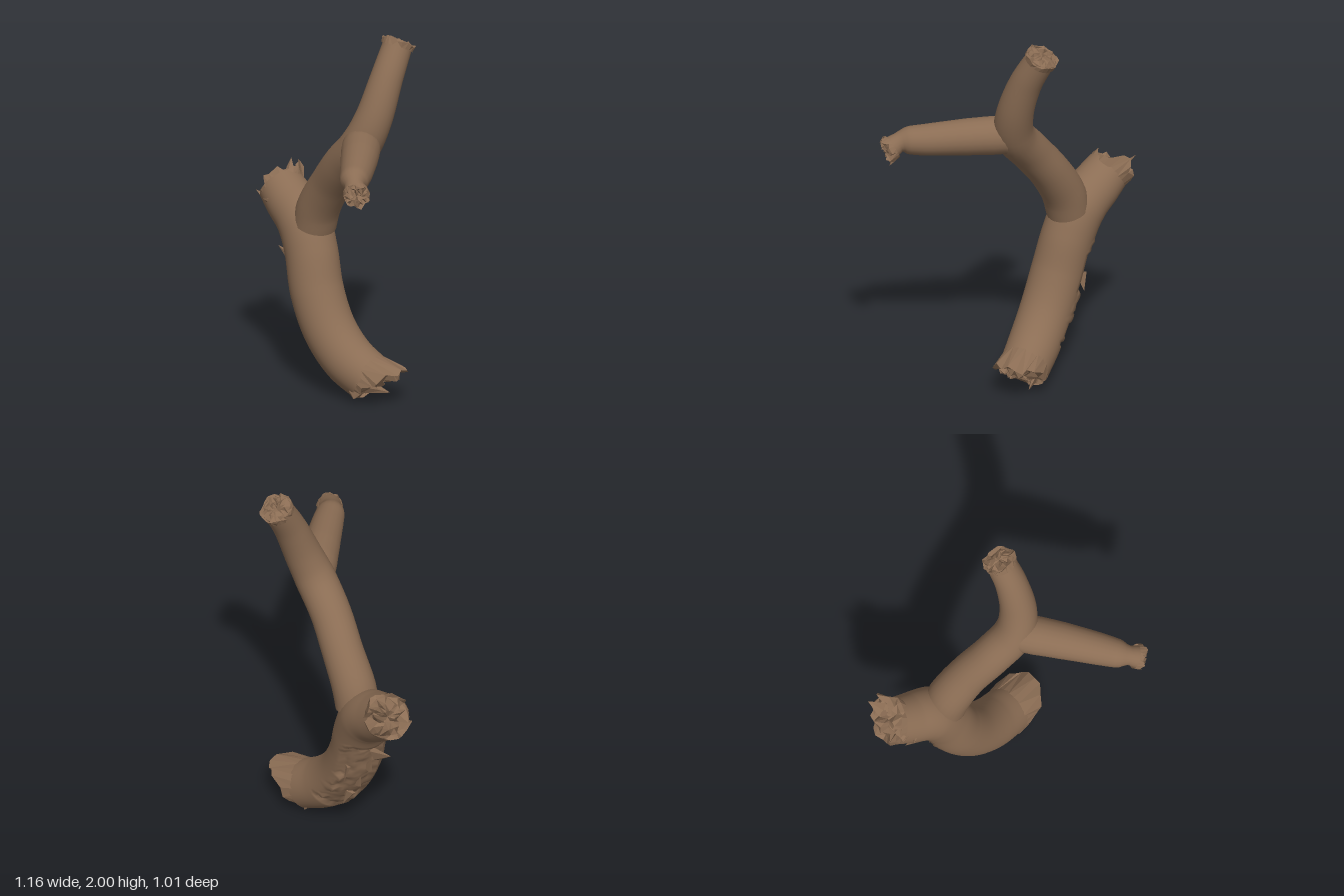
import * as THREE from 'three';
import { mergeVertices } from 'three/addons/utils/BufferGeometryUtils.js';

const V = (x, y, z) => new THREE.Vector3(x, y, z);

function seeded(seed) {
  let s = seed;
  return () => {
    s = (s * 16807) % 2147483647;
    return s / 2147483647;
  };
}

// Tapered round limb through [x, y, z, radius] stations; dent(dir, t, i, j) scales the radius
function limbGeometry(stations, segments, sides, dent = () => 1) {
  const curve = new THREE.CatmullRomCurve3(stations.map(s => V(s[0], s[1], s[2])));
  const geo = new THREE.TubeGeometry(curve, segments, 1, sides);
  const pos = geo.attributes.position, nor = geo.attributes.normal;
  const dir = V();
  for (let i = 0; i <= segments; i++) {
    const u = i / segments;
    const center = curve.getPointAt(u);
    const t = curve.getUtoTmapping(u) * (stations.length - 1);
    const k = Math.min(Math.floor(t), stations.length - 2);
    const radius = THREE.MathUtils.lerp(stations[k][3], stations[k + 1][3], t - k);
    for (let j = 0; j <= sides; j++) {
      const n = i * (sides + 1) + j;
      dir.fromBufferAttribute(nor, n);
      const r = radius * dent(dir, u, i, j % sides);
      pos.setXYZ(n, center.x + dir.x * r, center.y + dir.y * r, center.z + dir.z * r);
    }
  }
  geo.deleteAttribute('uv');
  geo.deleteAttribute('normal');
  const welded = mergeVertices(geo);
  welded.computeVertexNormals();
  return { geo: welded, end: curve.getPointAt(1), start: curve.getPointAt(0),
    endDir: curve.getTangentAt(1), startDir: curve.getTangentAt(0).negate() };
}

// Ragged, faceted wood where a limb has snapped off; the rim on lipSide is drawn out by lipShift
function brokenEndGeometry(center, axis, radius, jag, seed, lipSide = V(), lipShift = V()) {
  const rnd = seeded(seed), sides = 22;
  const q = new THREE.Quaternion().setFromUnitVectors(V(0, 0, 1), axis);
  const rings = [[0.98, -0.35, 0], [1.02, 0, 1], [0.84, -0.06, 1], [0.55, 0.02, 1.3], [0.25, 0.02, 1]];
  const points = [], index = [];
  rings.forEach(([scale, along, rough], i) => {
    for (let j = 0; j < sides; j++) {
      const a = ((j + (rnd() - 0.5) * rough) / sides) * Math.PI * 2;
      const r = radius * scale * (1 + (rnd() - 0.5) * 0.14 * rough);
      const dir = V(Math.cos(a), Math.sin(a), 0).applyQuaternion(q);
      const lip = rough * (0.5 + 0.5 * scale * dir.dot(lipSide)) ** 2;
      const p = center.clone().addScaledVector(dir, r)
        .addScaledVector(axis, along * radius + (rnd() - 0.4) * jag * rough)
        .addScaledVector(lipShift, lip);
      points.push(p.x, p.y, p.z);
      if (i > 0) {
        const k = (j + 1) % sides, row = (i - 1) * sides;
        const b = row + j, bk = row + k, c = b + sides, ck = bk + sides;
        // alternate the diagonals so the facets do not swirl
        if ((i + j) % 2) index.push(b, bk, c, bk, ck, c);
        else index.push(b, bk, ck, b, ck, c);
      }
    }
  });
  const tip = points.length / 3, last = (rings.length - 1) * sides;
  const middle = center.clone().addScaledVector(lipShift, 0.25);
  points.push(middle.x, middle.y, middle.z);
  for (let j = 0; j < sides; j++) index.push(last + j, last + (j + 1) % sides, tip);
  const geo = new THREE.BufferGeometry();
  geo.setAttribute('position', new THREE.Float32BufferAttribute(points, 3));
  geo.setIndex(index);
  const flat = geo.toNonIndexed();
  flat.computeVertexNormals();
  return flat;
}

export function createModel() {
  const group = new THREE.Group();
  const bark = new THREE.MeshStandardMaterial({ color: 0x8b6d54, side: THREE.DoubleSide });
  bark.name = 'bark brown';
  const add = (name, geo) => {
    const mesh = new THREE.Mesh(geo, bark);
    mesh.name = name;
    group.add(mesh);
    return mesh;
  };

  // Curved trunk running into the short side stub, with bark torn off its outer side
  const rnd = seeded(77);
  const noise = Array.from({ length: 4000 }, rnd);
  const scar = V(-0.68, -0.3, -0.67).normalize();
  const torn = (dir, u, i, j) => {
    const patch = noise[(Math.floor(i / 3) * 37 + Math.floor(j / 2) * 11) % 4000];
    const fine = noise[(i * 53 + j * 17) % 4000];
    const inside = dir.dot(scar) - 0.76 - 0.22 * (patch - 0.5);
    if (u < 0.16 || u > 0.66 || inside < -0.07) return 1;
    return inside < 0 ? 1.01 + 0.06 * fine : 0.83 + 0.09 * patch + 0.04 * fine;
  };
  const trunk = limbGeometry([
    [0.195, 0.122, -0.168, 0.13], [0.06, 0.202, -0.168, 0.136], [-0.065, 0.335, -0.18, 0.138],
    [-0.16, 0.52, -0.205, 0.14], [-0.22, 0.72, -0.24, 0.138], [-0.29, 0.855, -0.275, 0.14],
    [-0.4, 0.93, -0.318, 0.13], [-0.485, 0.99, -0.352, 0.12],
  ], 64, 40, torn);
  add('trunk', trunk.geo);
  add('trunkBrokenEnd', brokenEndGeometry(trunk.start, trunk.startDir, 0.13, 0.045, 11,
    V(0.58, 0.81, 0), V(0.14, -0.03, 0)));
  add('stubBrokenEnd', brokenEndGeometry(trunk.end, trunk.endDir, 0.12, 0.065, 23,
    V(0.1, 0.5, -0.86), V(-0.015, 0.035, -0.04)));

  // Long branch that carries on into the upright fork
  const branch = limbGeometry([
    [-0.2, 0.87, -0.245, 0.113], [-0.17, 0.97, -0.235, 0.114], [-0.07, 1.13, -0.2, 0.107],
    [0.05, 1.285, -0.145, 0.106], [0.18, 1.43, -0.108, 0.107], [0.238, 1.57, -0.132, 0.098],
    [0.27, 1.78, -0.207, 0.085], [0.28, 1.95, -0.303, 0.077],
  ], 40, 24);
  add('uprightBranch', branch.geo);
  add('uprightBranchBrokenEnd', brokenEndGeometry(branch.end, branch.endDir, 0.086, 0.022, 37));

  // Fork reaching forwards, pinched just before its snapped tip
  const fork = limbGeometry([
    [0.2, 1.432, -0.075, 0.098], [0.24, 1.435, -0.01, 0.101], [0.31, 1.435, 0.11, 0.096],
    [0.41, 1.43, 0.29, 0.083], [0.455, 1.43, 0.375, 0.073], [0.48, 1.425, 0.41, 0.05],
    [0.518, 1.395, 0.45, 0.06],
  ], 32, 20);
  add('forwardBranch', fork.geo);
  add('forwardBranchBrokenEnd', brokenEndGeometry(fork.end, fork.endDir, 0.066, 0.035, 53,
    V(0.3, -0.9, 0.1), V(0.03, -0.02, 0.02)));

  // Loose splinters: [base, direction, length, width]
  const splinters = [
    [V(-0.33, 0.625, -0.27), V(-0.9, 0.4, -0.15), 0.14, 0.045],
    [V(-0.28, 0.5, -0.26), V(-0.4, 0.9, -0.2), 0.1, 0.03],
    [V(-0.2, 0.36, -0.25), V(-0.4, 0.9, -0.2), 0.11, 0.03],
    [V(-0.16, 0.29, -0.25), V(0.4, -0.9, -0.1), 0.1, 0.03],
    [V(-0.2, 0.52, -0.32), V(0.1, -0.9, -0.2), 0.1, 0.03],
    [V(0.16, 0.06, -0.21), V(1, -0.15, -0.15), 0.12, 0.04],
    [V(0.19, 0.09, -0.13), V(1, 0, 0.05), 0.1, 0.04],
    [V(-0.42, 0.93, -0.24), V(-0.75, 0.3, 0.45), 0.09, 0.05],
    [V(-0.48, 1.02, -0.43), V(-0.3, 0.6, -0.6), 0.1, 0.04],
  ];
  for (const [base, dir, length, width] of splinters) {
    const geo = new THREE.ConeGeometry(width, length, 5).toNonIndexed();
    geo.translate(0, length / 2, 0).scale(1, 1, 0.45);
    geo.computeVertexNormals();
    const mesh = add('splinter', geo);
    mesh.position.copy(base);
    mesh.quaternion.setFromUnitVectors(V(0, 1, 0), dir.normalize());
  }
  return group;
}
